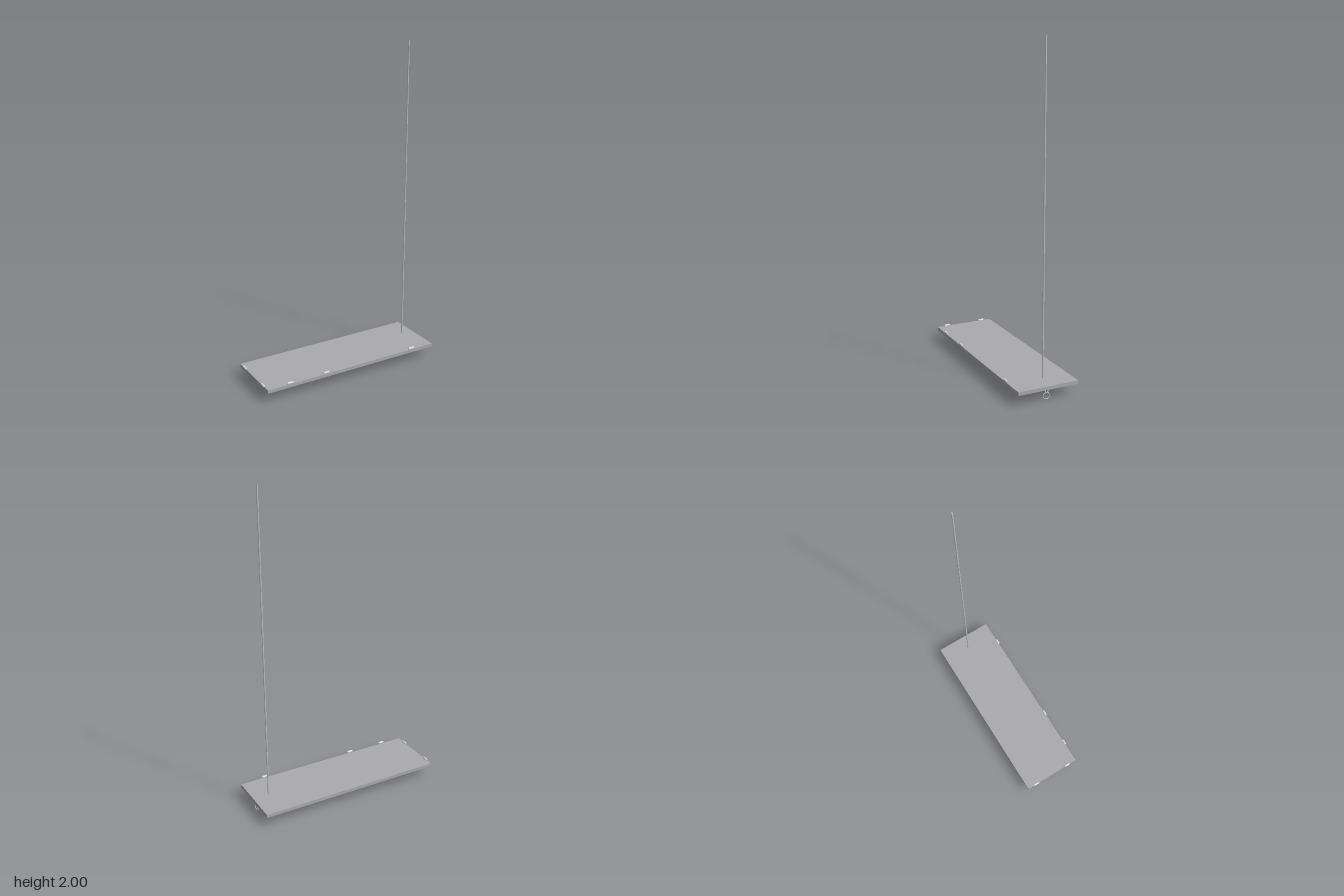
import * as THREE from 'three';

export function createModel() {
  const model = new THREE.Group();
  model.name = 'hangingPlatform';
  const grey = new THREE.MeshStandardMaterial({ color: 0xababad });
  grey.name = 'grey';
  const paleMetal = new THREE.MeshStandardMaterial({ color: 0xe0e0e0 });
  paleMetal.name = 'paleMetal';
  const rodMetal = new THREE.MeshStandardMaterial({ color: 0xc4c4c4 });
  rodMetal.name = 'rodMetal';

  function add(name, geometry, material, x, y, z) {
    const mesh = new THREE.Mesh(geometry, material);
    mesh.name = name;
    mesh.position.set(x, y, z);
    model.add(mesh);
    return mesh;
  }

  // Flat panel
  add('panel', new THREE.BoxGeometry(1.179, 0.021, 0.381), grey, 0.002, 0.0735, -0.004);

  // Slim upright rod, hovering just above the panel
  add('rod', new THREE.CylinderGeometry(0.0045, 0.0045, 1.903, 16), rodMetal, 0.497, 1.0485, -0.017);

  // Small hinge barrels with bevelled ends, along the front and one end
  const barrel = new THREE.LatheGeometry([
    [0, -0.02], [0.005, -0.02], [0.007, -0.014],
    [0.007, 0.014], [0.005, 0.02], [0, 0.02],
  ].map(([r, h]) => new THREE.Vector2(r, h)), 16);
  for (const x of [-0.441, -0.196, 0.428]) {
    add('frontHinge', barrel, paleMetal, x, 0.093, 0.186).rotation.z = Math.PI / 2;
  }
  for (const z of [-0.13, 0.118]) {
    add('endHinge', barrel, paleMetal, -0.586, 0.087, z).rotation.x = Math.PI / 2;
  }

  // Pull ring hanging from an eyelet under the panel
  add('eyeletStem', new THREE.CylinderGeometry(0.003, 0.003, 0.008, 10), paleMetal, 0.576, 0.061, 0);
  add('eyelet', new THREE.TorusGeometry(0.008, 0.002, 8, 20), paleMetal, 0.576, 0.051, 0)
    .rotation.y = Math.PI / 2;
  add('pullRing', new THREE.TorusGeometry(0.0195, 0.002, 8, 32), paleMetal, 0.572, 0.0215, 0)
    .rotation.y = Math.PI / 2;

  return model;
}
